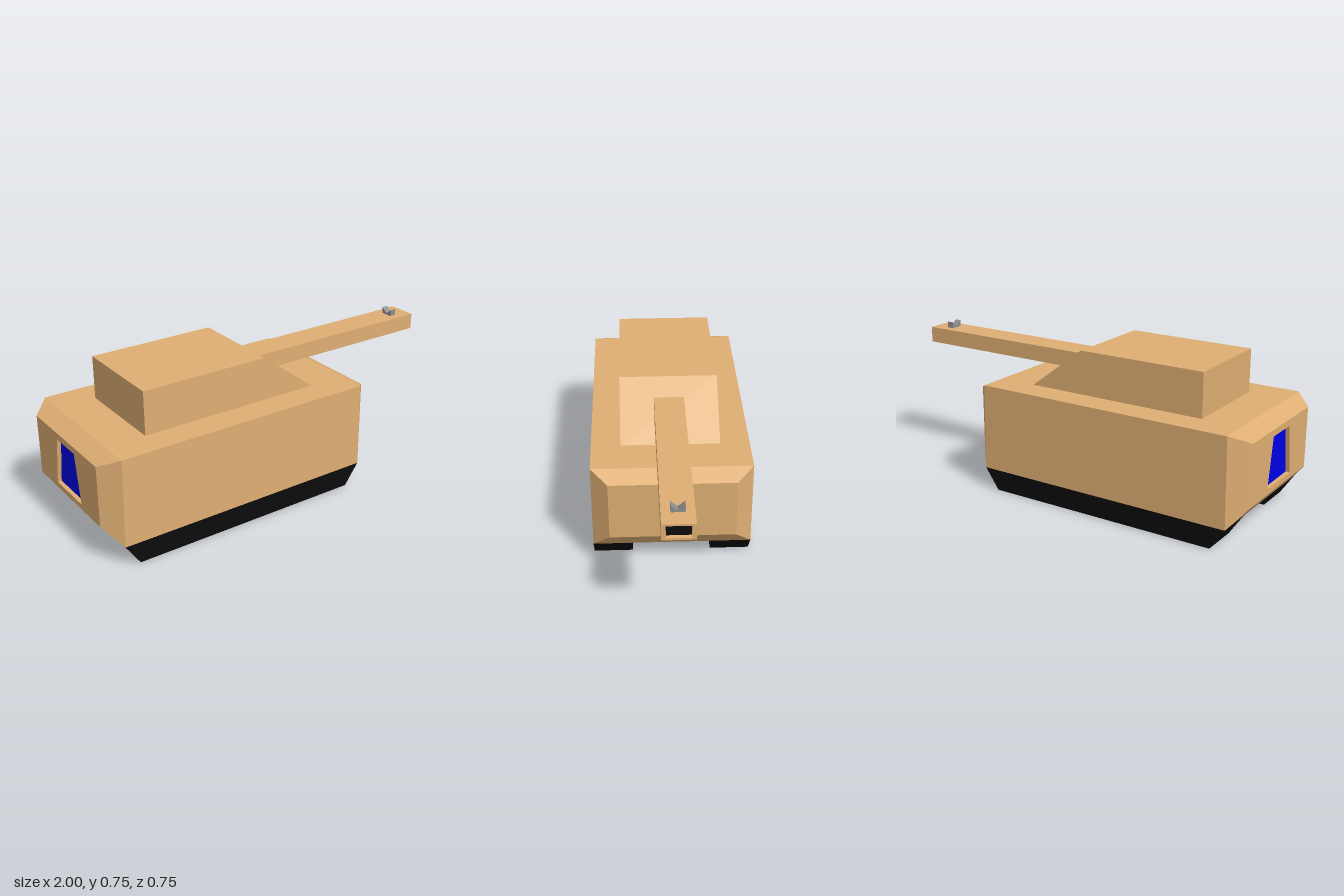
import * as THREE from 'three';

const paint = (name, color) => {
  const m = new THREE.MeshStandardMaterial({ color });
  m.name = name;
  return m;
};

// Four corners of a cross-section at x; xTop and zTop let the upper edge lean.
const ring = (x, y0, y1, z, zTop = z, xTop = x) => [
  [x, y0, -z], [x, y0, z], [xTop, y1, zTop], [xTop, y1, -zTop],
];

// Flat-faced geometry from a list of four-cornered faces
function fromQuads(quads) {
  const pos = [];
  for (const [a, b, c, d] of quads) pos.push(...a, ...b, ...c, ...a, ...c, ...d);
  const g = new THREE.BufferGeometry();
  g.setAttribute('position', new THREE.Float32BufferAttribute(pos, 3));
  g.computeVertexNormals();
  return g;
}

// Skin through successive rings, with optional end caps
function loft(rings, capStart, capEnd) {
  const quads = [];
  for (let i = 0; i < rings.length - 1; i++) {
    const p = rings[i], q = rings[i + 1];
    for (let k = 0; k < 4; k++) {
      const n = (k + 1) % 4;
      quads.push([p[k], q[k], q[n], p[n]]);
    }
  }
  if (capStart) quads.push(rings[0]);
  if (capEnd) quads.push([...rings[rings.length - 1]].reverse());
  return fromQuads(quads);
}

// Flat outline extruded to a depth centred on zero
function slab(points, depth) {
  const shape = new THREE.Shape(points.map(([x, y]) => new THREE.Vector2(x, y)));
  return new THREE.ExtrudeGeometry(shape, { depth, bevelEnabled: false }).translate(0, 0, -depth / 2);
}

export function createModel() {
  const group = new THREE.Group();
  const tan = paint('tan armour', 0xdeae73);
  const black = paint('black', 0x0b0b0b);
  const blue = paint('blue glass', 0x0000ff);
  const grey = paint('grey metal', 0x8e8e8e);

  const add = (name, geometry, material) => {
    const mesh = new THREE.Mesh(geometry, material);
    mesh.name = name;
    group.add(mesh);
    return mesh;
  };

  // Hull with bevelled ends and a recessed rear window opening
  const glass = ring(-0.98, 0.222, 0.46, 0.122, 0.085);
  add('hull', loft([
    glass,
    ring(-1, 0.222, 0.46, 0.122, 0.085),
    ring(-1, 0.195, 0.492, 0.297),
    ring(-0.925, 0.104, 0.532, 0.377, 0.377, -0.917),
    ring(0.395, 0.104, 0.532, 0.377, 0.377, 0.387),
    ring(0.465, 0.195, 0.492, 0.297),
  ], false, true), tan);
  add('rearWindow', fromQuads([glass]), blue);

  // Tracks
  for (const side of [-1, 1]) {
    const track = add(side > 0 ? 'frontSideTrack' : 'backSideTrack',
      slab([[-0.855, 0], [0.32, 0], [0.395, 0.104], [-0.925, 0.104]], 0.188), black);
    track.position.z = side * 0.283;
  }

  // Turret with a sloping face
  add('turret', slab([[-0.725, 0.53], [0.198, 0.53], [-0.085, 0.745], [-0.725, 0.745]], 0.474), tan);

  // Square gun barrel with a recessed bore
  const bore = ring(0.98, 0.608, 0.669, 0.053);
  add('gunBarrel', loft([
    ring(0, 0.598, 0.678, 0.072),
    ring(1, 0.598, 0.678, 0.072),
    ring(1, 0.608, 0.669, 0.053),
    bore,
  ], true, false), tan);
  add('gunBore', fromQuads([[...bore].reverse()]), black);

  // Notched sight on top of the barrel
  const sight = add('gunSight',
    slab([[-0.031, 0.676], [0.031, 0.676], [0.031, 0.71], [0, 0.684], [-0.031, 0.71]], 0.034), grey);
  sight.rotation.y = Math.PI / 2;
  sight.position.x = 0.903;

  return group;
}
